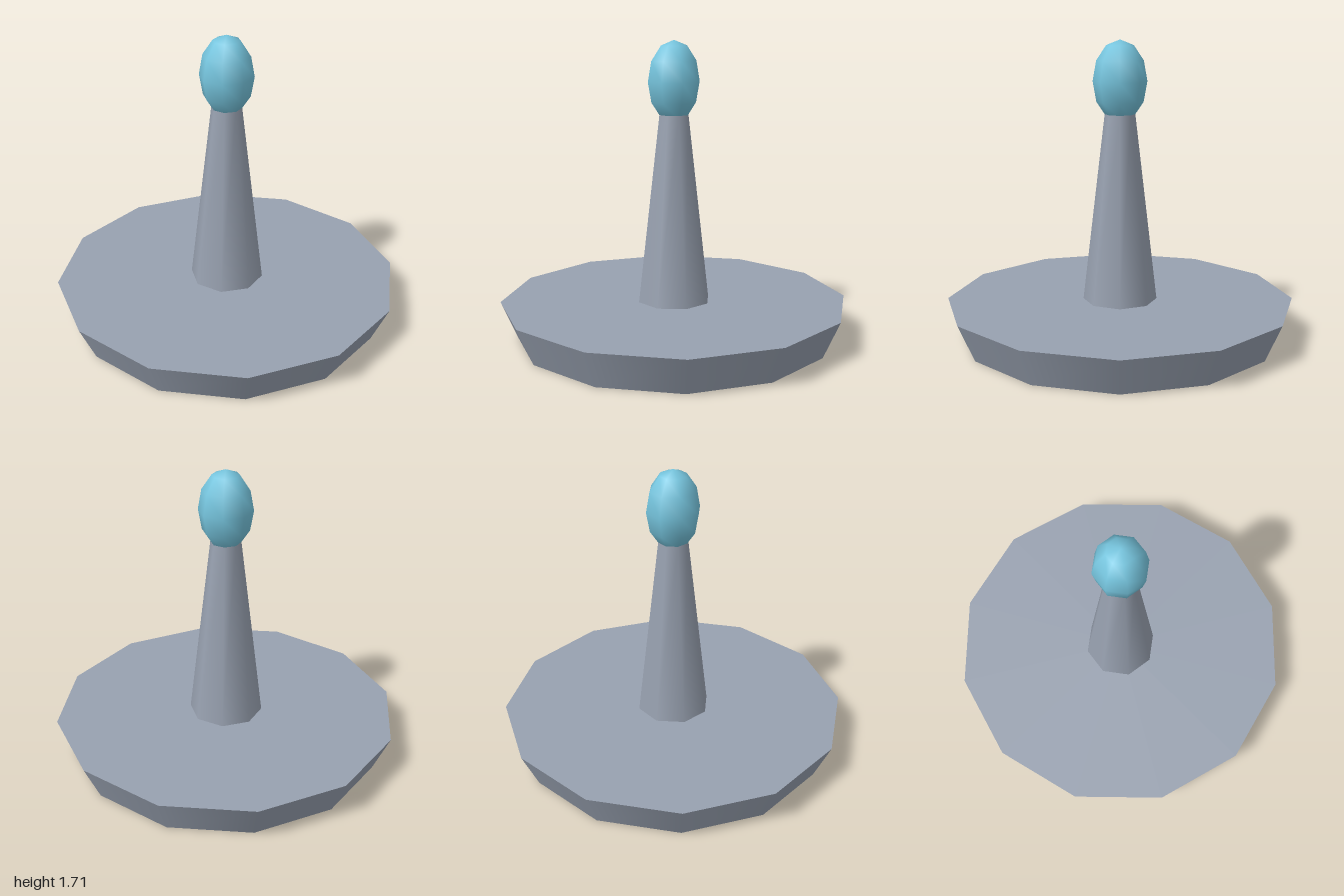
import * as THREE from 'three';

export function createModel() {
  const model = new THREE.Group();
  const grey = new THREE.MeshStandardMaterial({ name: 'blue grey', color: 0x98a1b0 });
  const blue = new THREE.MeshStandardMaterial({ name: 'sky blue', color: 0x76c5de });

  const add = (name, geometry, material, y) => {
    const mesh = new THREE.Mesh(geometry, material);
    mesh.name = name;
    mesh.position.y = y;
    model.add(mesh);
    return mesh;
  };

  // Twelve-sided dish that flares upward
  const baseHeight = 0.215;
  add('base', new THREE.CylinderGeometry(1, 0.905, baseHeight, 12), grey, baseHeight / 2);

  // Tapered eight-sided post standing on the base
  const postTop = 1.3;
  const postHeight = postTop - baseHeight;
  add('post', new THREE.CylinderGeometry(0.085, 0.212, postHeight, 8), grey, baseHeight + postHeight / 2);

  // Egg-shaped tip, sunk slightly over the post
  const tip = new THREE.SphereGeometry(1, 8, 6).scale(0.153, 0.23, 0.153);
  add('tip', tip, blue, 1.475);

  return model;
}
